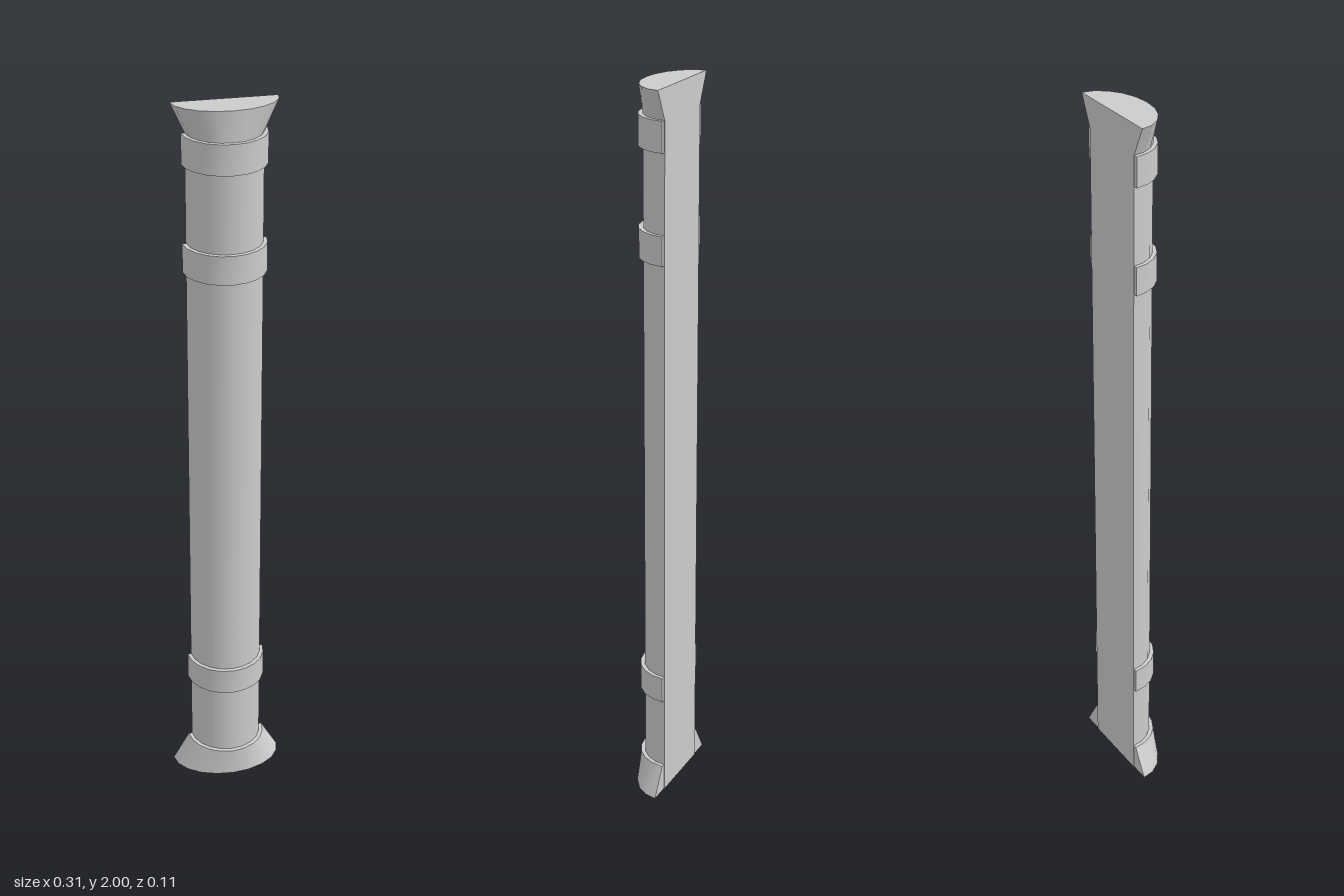
import * as THREE from 'three';
import { mergeGeometries } from 'three/addons/utils/BufferGeometryUtils.js';

const material = new THREE.MeshStandardMaterial({ color: 0xcccccc });

// Closed half-round block, flat at the back; half-widths may differ at bottom and top
function halfRound(name, y0, y1, bottomX, topX, depth, backZ) {
  const curved = new THREE.CylinderGeometry(1, 1, 1, 10, 1, false, -Math.PI / 2, Math.PI);
  const back = new THREE.PlaneGeometry(2, 1).rotateY(Math.PI);
  const geometry = mergeGeometries([curved, back]);
  const p = geometry.attributes.position;
  for (let i = 0; i < p.count; i++) {
    const t = p.getY(i) + 0.5;
    p.setXYZ(
      i,
      p.getX(i) * THREE.MathUtils.lerp(bottomX, topX, t),
      THREE.MathUtils.lerp(y0, y1, t),
      backZ + p.getZ(i) * depth
    );
  }
  geometry.computeVertexNormals();
  const mesh = new THREE.Mesh(geometry, material);
  mesh.name = name;
  return mesh;
}

export function createModel() {
  const group = new THREE.Group();
  group.name = 'halfColumn';

  // Shaft and the capital that widens sideways only
  group.add(halfRound('shaft', 0, 1.92, 0.1, 0.1, 0.1, -0.0565));
  group.add(halfRound('capital', 1.92, 2, 0.1, 0.137, 0.1, -0.0565));

  // Flared foot
  group.add(halfRound('base', 0, 0.08, 0.156, 0.11, 0.11, -0.0545));

  // Raised bands
  [[0.29, 0.365], [1.552, 1.63], [1.84, 1.92]].forEach(([y0, y1], i) => {
    group.add(halfRound('band' + (i + 1), y0, y1, 0.11, 0.11, 0.11, -0.0545));
  });

  return group;
}
